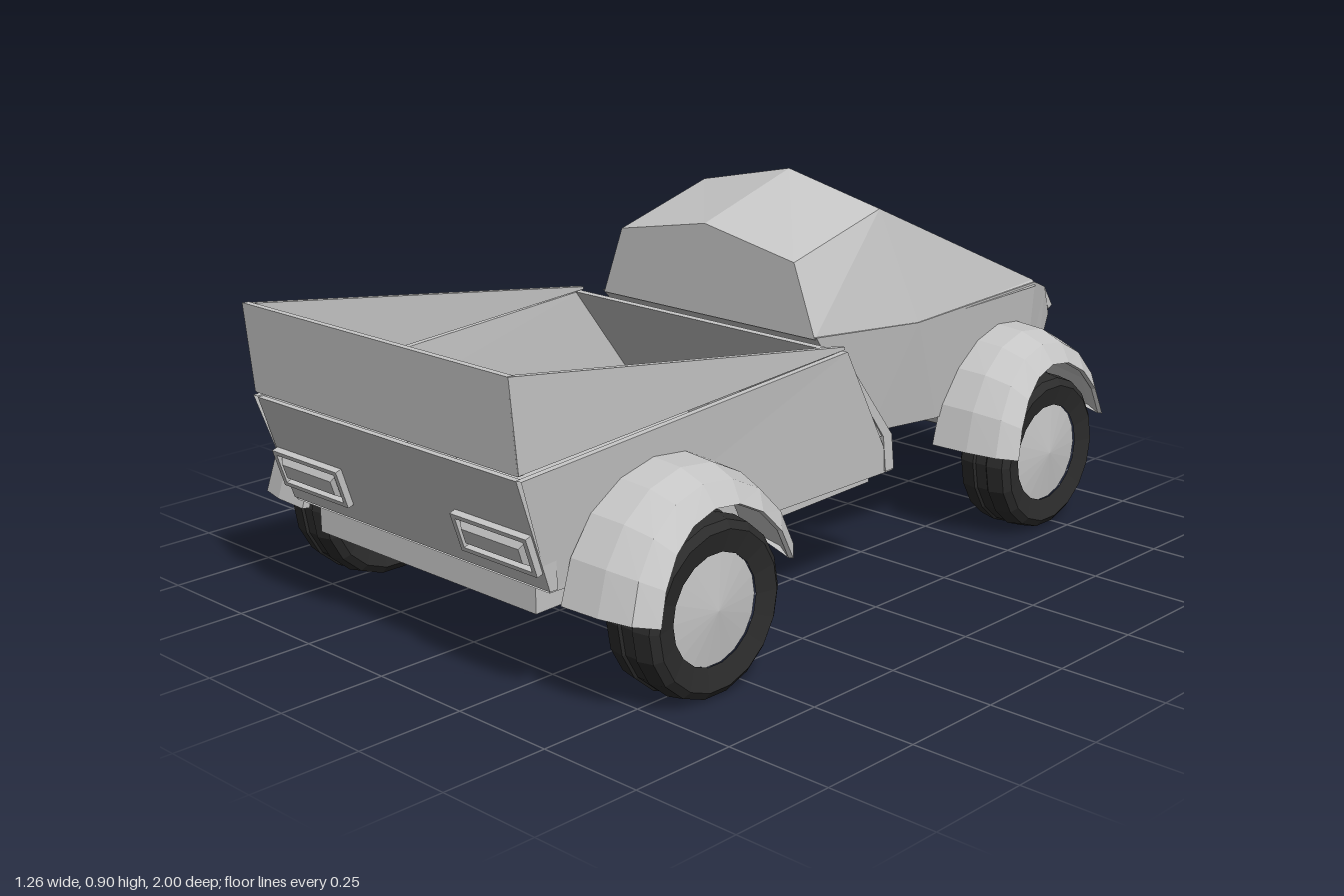
import * as THREE from 'three';

const bodyGrey = new THREE.MeshStandardMaterial({ color: 0xc6c6c6, flatShading: true, side: THREE.DoubleSide });
bodyGrey.name = 'body grey';
const tyreBlack = new THREE.MeshStandardMaterial({ color: 0x2c2c2c, flatShading: true });
tyreBlack.name = 'tyre black';

function add(parent, name, geometry, material = bodyGrey) {
  const mesh = new THREE.Mesh(geometry, material);
  mesh.name = name;
  parent.add(mesh);
  return mesh;
}

// Skin over closed rings of [x, y, z] points, running from +z to -z
function loft(rings, caps = true) {
  const n = rings[0].length;
  const index = [];
  for (let i = 0; i < rings.length - 1; i++) {
    for (let j = 0; j < n; j++) {
      const a = i * n + j, b = i * n + (j + 1) % n;
      index.push(a, a + n, b + n, a, b + n, b);
    }
  }
  if (caps) {
    const last = (rings.length - 1) * n;
    for (let j = 1; j < n - 1; j++) index.push(0, j, j + 1, last, last + j + 1, last + j);
  }
  const g = new THREE.BufferGeometry();
  g.setAttribute('position', new THREE.Float32BufferAttribute(rings.flat(2), 3));
  g.setIndex(index);
  const flat = g.toNonIndexed();
  flat.computeVertexNormals();
  return flat;
}

// Completes a half ring (bottom centre, +x side, top centre) with its mirror image
function mirrored(half) {
  const other = half.filter(p => p[0] > 0).reverse().map(([x, y, z]) => [-x, y, z]);
  return [...half, ...other];
}

// Side outline of [z, y] points extruded across x
function prism(points, width) {
  const shape = new THREE.Shape(points.map(([z, y]) => new THREE.Vector2(z, y)));
  const g = new THREE.ExtrudeGeometry(shape, { depth: width, bevelEnabled: false });
  return g.translate(0, 0, -width / 2).rotateY(-Math.PI / 2);
}

function box(w, h, d, x, y, z) {
  return new THREE.BoxGeometry(w, h, d).translate(x, y, z);
}

// Raised lamp: a rectangular rim around a bevelled lens, facing +z
function lamp(w, h) {
  const group = new THREE.Group();
  const rim = new THREE.Shape([[-1, -1], [1, -1], [1, 1], [-1, 1]].map(([x, y]) => new THREE.Vector2(x * w / 2, y * h / 2)));
  rim.holes.push(new THREE.Path([[-1, -1], [-1, 1], [1, 1], [1, -1]].map(([x, y]) => new THREE.Vector2(x * (w / 2 - 0.012), y * (h / 2 - 0.01)))));
  add(group, 'lampRim', new THREE.ExtrudeGeometry(rim, { depth: 0.016, bevelEnabled: false }));
  const ring = (s, z) => [[1, -1], [1, 1], [-1, 1], [-1, -1]].map(([x, y]) => [x * (w / 2 - s), y * (h / 2 - s), z]);
  add(group, 'lampLens', loft([ring(0.028, 0.02), ring(0.011, 0.002)]));
  return group;
}

function wheel() {
  const group = new THREE.Group();
  const v = ([r, a]) => new THREE.Vector2(r, a);
  const tyre = [[0.12, -0.06], [0.17, -0.073], [0.187, -0.06], [0.194, -0.02], [0.189, -0.015], [0.189, 0.015], [0.194, 0.02], [0.187, 0.06], [0.17, 0.073], [0.12, 0.06]].map(v);
  const hub = [[0, -0.045], [0.121, -0.055], [0.121, 0.055], [0, 0.07]].map(v);
  add(group, 'tyre', new THREE.LatheGeometry(tyre, 18).rotateZ(-Math.PI / 2), tyreBlack);
  add(group, 'hub', new THREE.LatheGeometry(hub, 18).rotateZ(-Math.PI / 2));
  return group;
}

// Arched mudguard swept over the wheel, flaring outwards at its trailing end
function fender(x0, z0, kz, ky) {
  const section = [[0, 0.27], [0.12, 0.243], [0.162, 0.215], [0.172, 0.218], [0.14, 0.262], [0.08, 0.284], [0, 0.29]];
  const rings = [];
  for (let i = 0; i <= 8; i++) {
    const t = THREE.MathUtils.degToRad(8 + i * 19.5);
    const c = Math.cos(t);
    const flare = 1 + (c > 0 ? 0.22 : 0.1) * c * c;
    rings.push(section.map(([x, r]) => [x0 + x * flare, 0.2 + r * ky * Math.sin(t), z0 + r * kz * c]));
  }
  return loft(rings);
}

export function createModel() {
  const model = new THREE.Group();
  model.name = 'utilityTruck';

  // Load bed: tub with a raked front and rear
  const bed = new THREE.Group();
  bed.name = 'loadBed';
  model.add(bed);
  const rearZ = y => 0.9 + (y - 0.28) / 3;
  const frontZ = y => (y < 0.36 ? -0.16 + (y - 0.28) / 8 : -0.15 + (y - 0.36) * 0.78);
  const tubRing = (top, zAt) => mirrored([
    [0, 0.27], [0.41, 0.27], [0.43, top], [0.415, top], [0.41, 0.36], [0.335, 0.36], [0.335, 0.29], [0, 0.29],
  ].map(([x, y]) => [x, y, zAt(y)]));
  const front0 = tubRing(0.59, frontZ), rear0 = tubRing(0.522, rearZ);
  add(bed, 'bedTub', loft([rear0, front0], false));
  add(bed, 'bedFrontWall', prism([[0.03, 0.59], [-0.15, 0.36], [-0.16, 0.275], [-0.13, 0.275], [-0.12, 0.36], [0.05, 0.59]], 0.83));
  add(bed, 'bedRearWall', prism([[0.98, 0.52], [0.9, 0.275], [0.88, 0.275], [0.885, 0.44], [0.955, 0.49], [0.965, 0.52]], 0.83));
  add(bed, 'tailgate', prism([[1, 0.73], [0.985, 0.73], [0.965, 0.53], [0.98, 0.53]], 0.84));
  for (const s of [-1, 1]) {
    const board = add(bed, 'sideBoard', prism([[1, 0.73], [0.03, 0.6], [0.03, 0.594], [0.98, 0.532]], 0.014));
    board.position.x = s * 0.416;
    const tailLamp = lamp(0.225, 0.09);
    tailLamp.name = 'tailLamp';
    tailLamp.position.set(s * 0.297, 0.358, rearZ(0.358));
    tailLamp.rotation.x = Math.atan(1 / 3);
    bed.add(tailLamp);
  }

  // Chassis below the bed and the coupling to the cab
  add(model, 'chassis', prism([[0.88, 0.205], [0.88, 0.28], [-0.15, 0.28], [-0.15, 0.23]], 0.7));
  add(model, 'coupling', box(0.5, 0.07, 0.14, 0, 0.37, -0.17));

  // Cab body: [top z, y, x, bottom z, y, x] from the back to the nose
  const stations = [
    [0.03, 0.605, 0.34, -0.2, 0.33, 0.31],
    [-0.33, 0.575, 0.345, -0.45, 0.31, 0.31],
    [-0.84, 0.58, 0.312, -0.85, 0.315, 0.285],
    [-0.92, 0.55, 0.287, -0.93, 0.375, 0.27],
    [-0.98, 0.465, 0.26, -0.96, 0.42, 0.255],
  ];
  add(model, 'cabBody', loft(stations.map(([tz, ty, tx, bz, by, bx], i) => {
    const bulge = i > 2 ? 0.02 : 0;
    return mirrored([[0, by, bz - bulge], [bx, by, bz], [tx, ty, tz], [tx * 0.5, ty + bulge / 2, tz - bulge * 0.8], [0, ty + bulge / 2, tz - bulge]]);
  })));

  // Canopy: ridged roof falling into a long split windscreen
  const canopy = [
    [0.335, 0.6, 0.03, 0.272, 0.765, 0.03, 0.815],
    [0.343, 0.572, -0.33, 0.277, 0.845, -0.26, 0.905],
    [0.314, 0.57, -0.84, 0.304, 0.585, -0.84, 0.6],
  ];
  add(model, 'canopy', loft(canopy.map(([bx, by, bz, sx, sy, sz, peak]) =>
    mirrored([[0, by, bz], [bx, by, bz], [sx, sy, sz], [0, peak, sz]]))));

  // Lamps on the sloping nose
  for (const s of [-1, 1]) {
    const headLamp = lamp(0.085, 0.065);
    headLamp.name = 'headLamp';
    headLamp.position.set(s * 0.225, 0.507, -0.952);
    headLamp.rotation.set(-0.6, Math.PI, 0, 'YXZ');
    model.add(headLamp);
  }

  // Axles, wheels and fenders
  const axles = [
    { name: 'front', z: -0.705, wheelX: 0.4, fenderX: 0.305, kz: 0.9, ky: 1.04 },
    { name: 'rear', z: 0.605, wheelX: 0.517, fenderX: 0.42, kz: 0.95, ky: 1 },
  ];
  for (const a of axles) {
    add(model, a.name + 'Axle', new THREE.CylinderGeometry(0.03, 0.03, a.wheelX * 2, 8).rotateZ(Math.PI / 2).translate(0, 0.23, a.z));
    for (const s of [-1, 1]) {
      const side = new THREE.Group();
      side.name = a.name + (s > 0 ? 'LeftCorner' : 'RightCorner');
      side.scale.x = s;
      const w = wheel();
      w.name = a.name + 'Wheel';
      w.position.set(a.wheelX, 0.197, a.z);
      side.add(w);
      add(side, a.name + 'Fender', fender(a.fenderX, a.z, a.kz, a.ky));
      model.add(side);
    }
  }
  return model;
}
